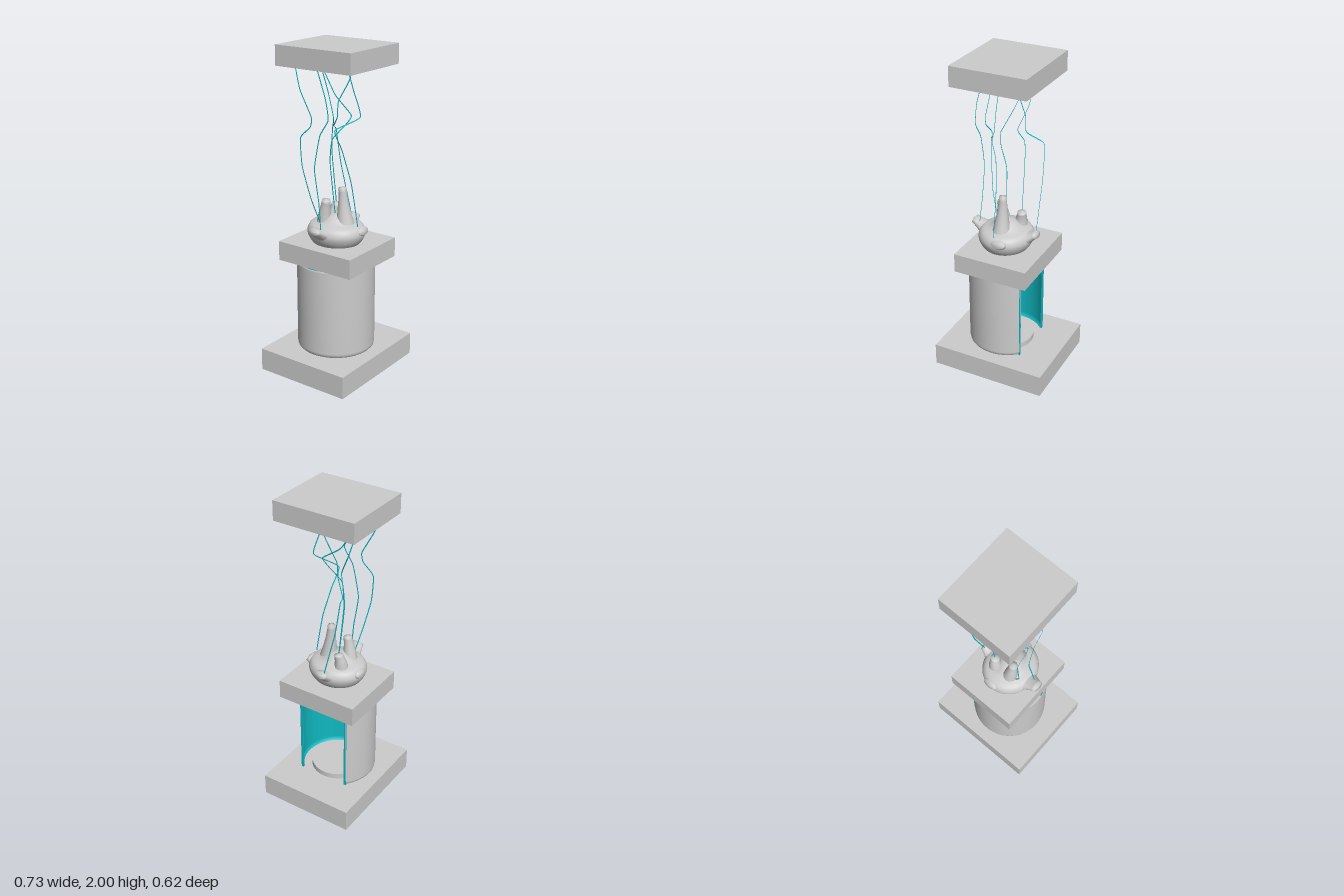
import * as THREE from 'three';

const TEAL = 0x10b8c0;
const grey = () => new THREE.MeshStandardMaterial({ color: 0xcccccc });
const teal = (side) => new THREE.MeshStandardMaterial({ color: TEAL, side });

function add(parent, name, geometry, material = grey(), pos = [0, 0, 0]) {
  const mesh = new THREE.Mesh(geometry, material);
  mesh.name = name;
  mesh.position.set(...pos);
  parent.add(mesh);
  return mesh;
}

// Square slab standing between two heights
function slab(parent, name, w, d, y0, y1) {
  add(parent, name, new THREE.BoxGeometry(w, y1 - y0, d), grey(), [0, (y0 + y1) / 2, 0]);
}

// Tapered horn swept along a bent path, oval in section, closed by a small domed tip
function hornGeometry(points, r0, r1, flat) {
  const curve = new THREE.CatmullRomCurve3(points.map((p) => new THREE.Vector3(...p)));
  const rings = 10, sides = 12, pos = [], index = [];
  const first = curve.getPoint(0), last = curve.getPoint(1);
  const dir = last.clone().sub(first).normalize();
  // side axis is horizontal and across the horn
  const across = new THREE.Vector3(-dir.z, 0, dir.x);
  if (across.length() < 0.15) across.set(1, 0, 0);
  across.normalize();
  for (let i = 0; i <= rings; i++) {
    const t = i / rings, c = curve.getPoint(t);
    const up = new THREE.Vector3().crossVectors(curve.getTangent(t), across).normalize();
    const r = r1 + (r0 - r1) * Math.pow(1 - t, 1.5);
    for (let j = 0; j < sides; j++) {
      const a = (j / sides) * Math.PI * 2;
      const p = c.clone()
        .addScaledVector(across, Math.cos(a) * r * flat)
        .addScaledVector(up, Math.sin(a) * r);
      pos.push(p.x, p.y, p.z);
    }
  }
  for (let i = 0; i < rings; i++) {
    for (let j = 0; j < sides; j++) {
      const a = i * sides + j, b = i * sides + ((j + 1) % sides);
      index.push(a, b, a + sides, b, b + sides, a + sides);
    }
  }
  const tip = last.clone().addScaledVector(curve.getTangent(1), r1 * 0.35);
  pos.push(tip.x, tip.y, tip.z);
  const top = (rings + 1) * sides;
  for (let j = 0; j < sides; j++) {
    index.push(rings * sides + j, rings * sides + ((j + 1) % sides), top);
  }
  // outward winding: the across/up frame is left-handed along the path when flipped
  const g = new THREE.BufferGeometry();
  g.setAttribute('position', new THREE.Float32BufferAttribute(pos, 3));
  g.setIndex(index);
  g.computeVertexNormals();
  return g;
}

// Flat thread lying in the y-z plane, following a path
function threadGeometry(points, width = 0.007) {
  const curve = new THREE.CatmullRomCurve3(
    points.map((p) => new THREE.Vector3(...p)), false, 'catmullrom', 0.25);
  const n = 60, pos = [], index = [];
  for (let i = 0; i <= n; i++) {
    const p = curve.getPoint(i / n), t = curve.getTangent(i / n);
    const l = Math.hypot(t.y, t.z) || 1;
    const dy = (-t.z / l) * width / 2, dz = (t.y / l) * width / 2;
    pos.push(p.x, p.y + dy, p.z + dz, p.x, p.y - dy, p.z - dz);
    if (i < n) {
      const k = i * 2;
      index.push(k, k + 1, k + 2, k + 1, k + 3, k + 2);
    }
  }
  const g = new THREE.BufferGeometry();
  g.setAttribute('position', new THREE.Float32BufferAttribute(pos, 3));
  g.setIndex(index);
  g.computeVertexNormals();
  return g;
}

export function createModel() {
  const model = new THREE.Group();
  model.name = 'pedestal';

  // Slabs
  slab(model, 'baseSlab', 0.73, 0.62, 0, 0.14);
  slab(model, 'middleSlab', 0.47, 0.526, 0.70, 0.82);
  slab(model, 'topSlab', 0.47, 0.526, 1.88, 2);

  // Round housing, open towards +x
  const housing = new THREE.Group();
  housing.name = 'housing';
  housing.position.x = -0.012;
  model.add(housing);
  const half = 0.765; // half angle of the opening
  const wall = (r) => new THREE.LatheGeometry(
    [[r - 0.012, 0.142], [r - 0.003, 0.152], [r, 0.168], [r, 0.69], [r - 0.006, 0.70]]
      .map((p) => new THREE.Vector2(...p)),
    64, Math.PI / 2 + half, Math.PI * 2 - half * 2);
  add(housing, 'housingOuterWall', wall(0.238));
  add(housing, 'housingInnerWall', wall(0.232), teal(THREE.BackSide));
  for (const s of [1, -1]) {
    add(housing, 'openingEdge', new THREE.BoxGeometry(0.008, 0.556, 0.016),
      teal(THREE.FrontSide), [0.166, 0.42, s * 0.162]);
  }
  for (const [name, y] of [['floorDisc', 0.157], ['ceilingDisc', 0.685]]) {
    add(housing, name, new THREE.CylinderGeometry(0.168, 0.168, 0.034, 48), grey(), [0, y, 0]);
  }

  // Lumpy crown on the middle slab
  const crown = new THREE.Group();
  crown.name = 'crown';
  model.add(crown);
  const profile = new THREE.SplineCurve(
    [[0.145, 0.82], [0.165, 0.85], [0.175, 0.89], [0.155, 0.93], [0.10, 0.95], [0.05, 0.985], [0, 0.995]]
      .map((p) => new THREE.Vector2(...p))).getPoints(24);
  profile[profile.length - 1].x = 0;
  const body = new THREE.LatheGeometry(profile, 48);
  body.scale(0.95, 1, 1.03);
  add(crown, 'crownBody', body, grey(), [-0.015, 0, 0.005]);
  const horns = [
    // path, root radius, tip radius, width factor
    [[[-0.06, 0.87, 0], [-0.15, 0.895, 0], [-0.235, 0.937, 0]], 0.075, 0.022, 1.7],
    [[[0.04, 0.87, 0], [0.12, 0.895, 0], [0.185, 0.932, 0]], 0.075, 0.022, 1.7],
    [[[0.01, 0.87, 0.06], [0.01, 0.88, 0.13], [0.015, 0.912, 0.185]], 0.06, 0.025, 1.8],
    [[[0, 0.87, -0.06], [0, 0.88, -0.12], [0, 0.912, -0.172]], 0.06, 0.025, 1.8],
    [[[-0.015, 0.90, 0.075], [-0.015, 1.03, 0.06], [-0.015, 1.162, 0.05]], 0.065, 0.023, 1],
    [[[-0.055, 0.90, -0.055], [-0.065, 1.0, -0.045], [-0.068, 1.083, -0.03]], 0.055, 0.026, 1],
    [[[0.04, 0.88, -0.06], [0.05, 0.97, -0.06], [0.06, 1.028, -0.05]], 0.055, 0.028, 1],
  ];
  for (const [path, r0, r1, flat] of horns) {
    const g = hornGeometry(path, r0, r1, flat);
    add(crown, 'horn', g, new THREE.MeshStandardMaterial({ color: 0xcccccc, side: THREE.DoubleSide }));
  }

  // Threads hanging from the top slab to the crown
  const threads = [
    [[-0.165, 1.88, -0.175], [-0.18, 1.75, -0.13], [-0.18, 1.6, -0.05], [-0.18, 1.54, -0.06],
      [-0.18, 1.47, -0.13], [-0.18, 1.3, -0.12], [-0.15, 1.1, -0.08], [-0.1, 0.94, -0.05]],
    [[-0.015, 1.88, 0.08], [-0.015, 1.75, 0.125], [-0.01, 1.6, 0.17], [-0.09, 1.52, 0.05],
      [-0.05, 1.4, 0.07], [-0.025, 1.2, 0.12], [-0.02, 0.94, 0.165]],
    [[0.06, 1.88, -0.175], [0.07, 1.7, -0.12], [0.03, 1.56, -0.05], [0.06, 1.48, -0.08],
      [0.06, 1.35, -0.085], [0.06, 1.02, -0.05]],
    [[0.04, 1.88, -0.02], [0.08, 1.8, 0.035], [0.08, 1.65, -0.05], [0.08, 1.55, -0.06],
      [0.14, 1.48, -0.13], [0.165, 1.45, -0.13], [0.17, 1.25, -0.1], [0.17, 0.94, -0.02]],
    [[0.06, 1.88, -0.175], [0.02, 1.7, -0.03], [0, 1.6, 0.1], [-0.02, 1.54, 0.07],
      [-0.05, 1.45, 0.0], [-0.03, 1.3, -0.03], [-0.02, 0.98, 0.0]],
    [[-0.165, 1.88, -0.02], [-0.18, 1.72, 0.05], [-0.18, 1.6, 0.07], [-0.18, 1.5, 0.01],
      [-0.18, 1.3, -0.03], [-0.18, 1.1, 0.0], [-0.19, 0.94, 0.02]],
  ];
  for (const path of threads) add(model, 'thread', threadGeometry(path), teal(THREE.DoubleSide));

  return model;
}
